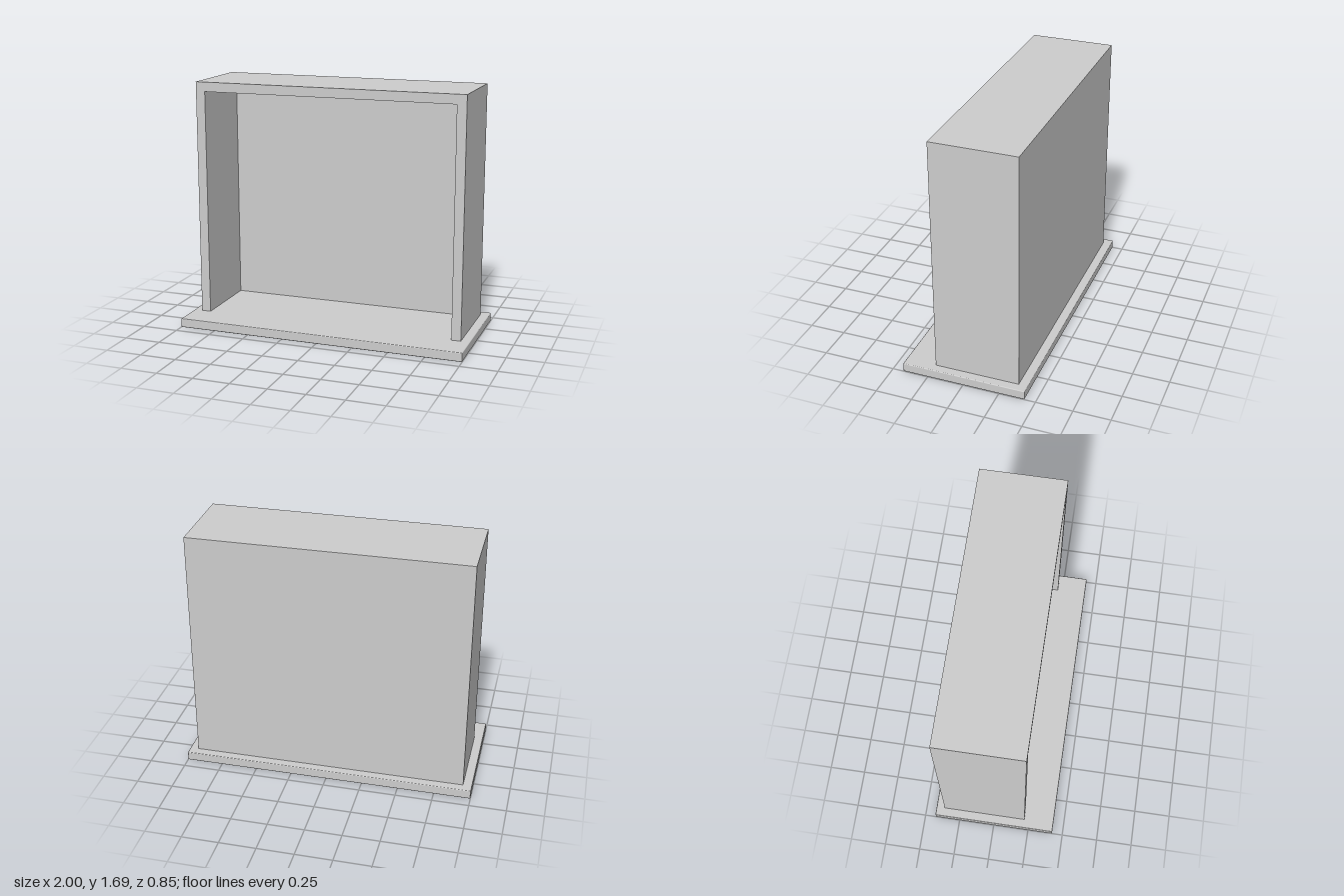
import * as THREE from 'three';
import { RoundedBoxGeometry } from 'three/addons/geometries/RoundedBoxGeometry.js';

export function createModel() {
  const model = new THREE.Group();
  const grey = new THREE.MeshStandardMaterial({ color: 0xcccccc });
  grey.name = 'light grey';

  const add = (name, geometry, x, y, z) => {
    const mesh = new THREE.Mesh(geometry, grey);
    mesh.name = name;
    mesh.position.set(x, y, z);
    model.add(mesh);
  };

  const baseH = 0.0625, top = 1.69, halfW = 0.94, wall = 0.065;
  const back = -0.365, front = 0.215, backWall = 0.0625;

  // Base slab with slightly softened edges
  add('base', new RoundedBoxGeometry(2, baseH, 0.85, 2, 0.006), 0, baseH / 2, 0);

  // Side walls and top as one arch, open at the front and bottom
  const arch = new THREE.Shape([
    [-halfW, baseH], [-halfW + wall, baseH], [-halfW + wall, top - wall],
    [halfW - wall, top - wall], [halfW - wall, baseH], [halfW, baseH],
    [halfW, top], [-halfW, top],
  ].map(([x, y]) => new THREE.Vector2(x, y)));
  const depth = front - back - backWall;
  add('wallsAndTop', new THREE.ExtrudeGeometry(arch, { depth, bevelEnabled: false }), 0, 0, back + backWall);

  // Back panel
  add('backPanel', new THREE.BoxGeometry(halfW * 2, top - baseH, backWall), 0, (top + baseH) / 2, back + backWall / 2);

  return model;
}
